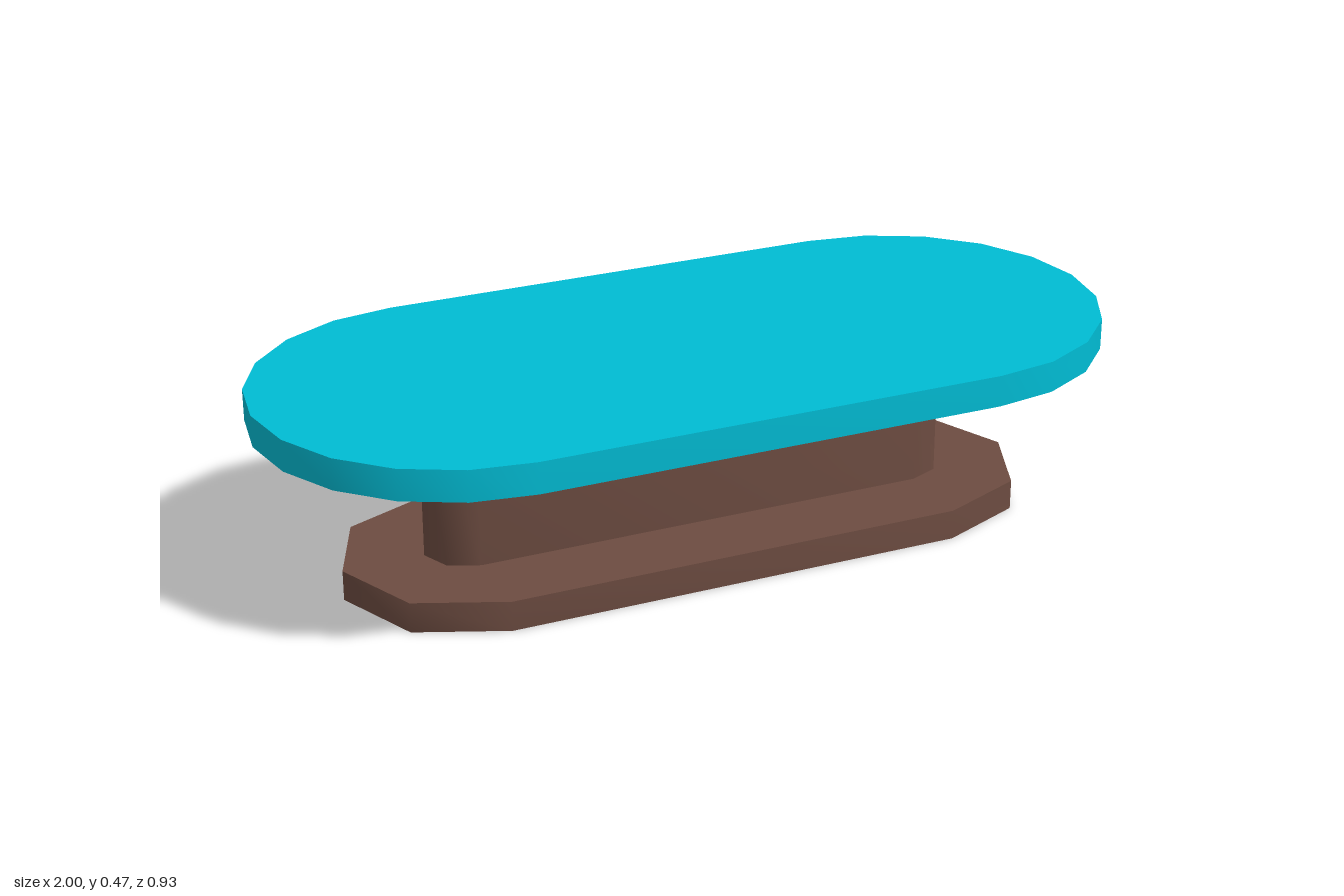
import * as THREE from 'three';
import { toCreasedNormals } from 'three/addons/utils/BufferGeometryUtils.js';

const HALF_STRAIGHT = 0.5365; // shared centre of every rounded end

// Upright slab with two rounded ends, each made of a given number of facets
function slab(name, radius, bottom, top, segments, material) {
  const points = [];
  for (const side of [1, -1]) {
    for (let i = 0; i <= segments; i++) {
      const a = -Math.PI / 2 + (i / segments) * Math.PI;
      points.push(new THREE.Vector2(
        side * (HALF_STRAIGHT + radius * Math.cos(a)),
        side * radius * Math.sin(a)
      ));
    }
  }
  const geometry = new THREE.ExtrudeGeometry(new THREE.Shape(points), {
    depth: top - bottom, bevelEnabled: false, steps: 1,
  });
  geometry.rotateX(-Math.PI / 2);
  geometry.translate(0, bottom, 0);
  // smooth around the sides, sharp at the rims
  const mesh = new THREE.Mesh(toCreasedNormals(geometry, Math.PI / 3), material);
  mesh.name = name;
  return mesh;
}

export function createModel() {
  const brown = new THREE.MeshStandardMaterial({ name: 'brown wood', color: 0x6d4c41 });
  const cyan = new THREE.MeshStandardMaterial({ name: 'cyan top', color: 0x00bcd4 });

  const table = new THREE.Group();
  table.name = 'table';
  table.add(
    slab('base', 0.285, 0, 0.07, 4, brown),
    slab('pedestal', 0.0975, 0.07, 0.4, 4, brown),
    slab('tabletop', 0.4635, 0.4, 0.472, 10, cyan)
  );
  return table;
}
